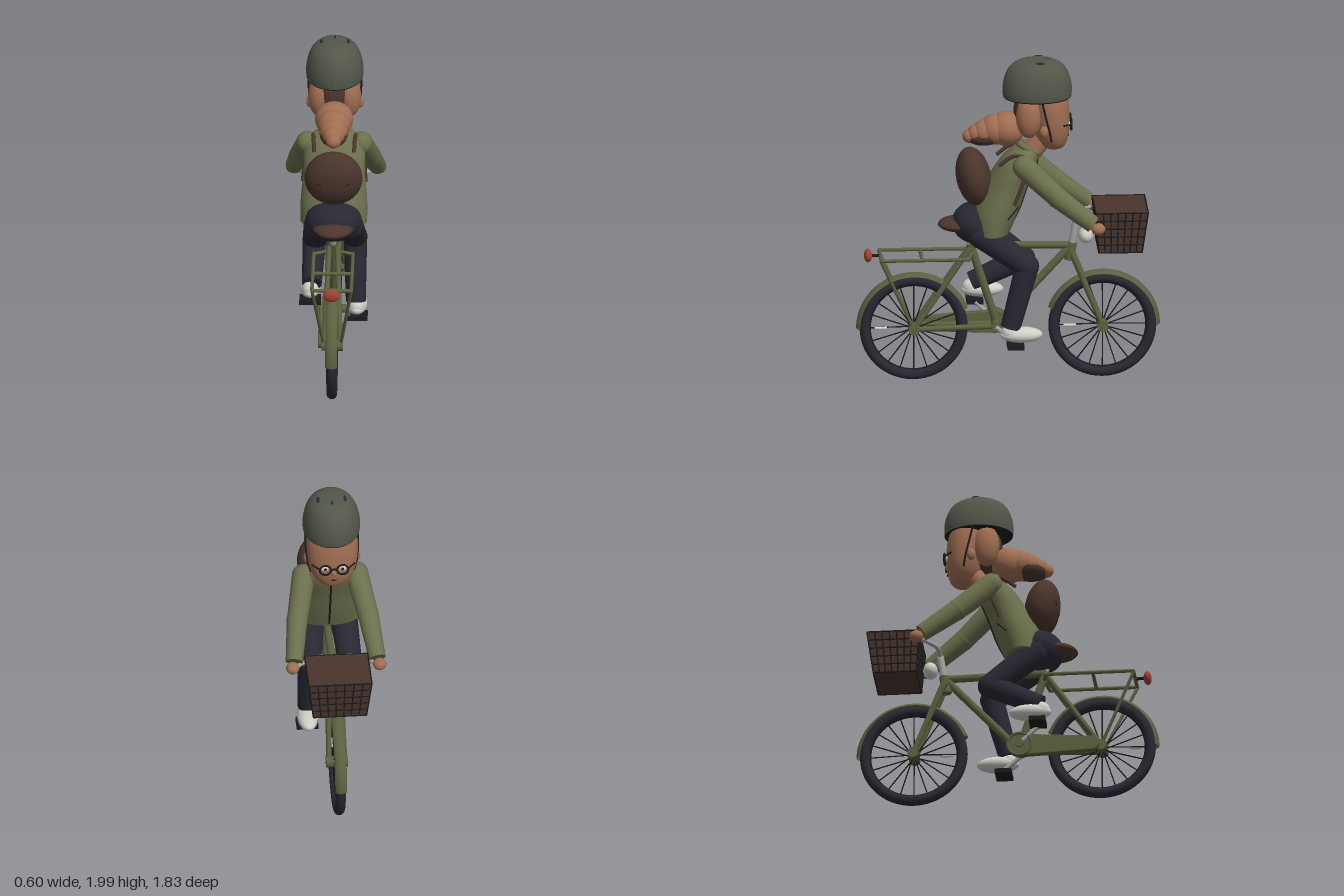
import * as THREE from 'three';

const mat = (name, color) => Object.assign(new THREE.MeshStandardMaterial({ color }), { name });
const M = {
  jacket: mat('jacket olive', 0x6c6f4c), frame: mat('frame olive', 0x5d603f),
  helmet: mat('helmet green', 0x52574a), skin: mat('warm skin', 0xa06e52),
  brown: mat('dark brown', 0x4a352d), navy: mat('dark navy', 0x282833),
  black: mat('black', 0x1b1b1e), white: mat('off white', 0xcfcdc6),
  red: mat('reflector red', 0xa34233), metal: mat('light metal', 0xa3a3a3),
};
M.frame.side = THREE.DoubleSide;
const V = (x, y, z) => new THREE.Vector3(x, y, z);

export function createModel() {
  const model = new THREE.Group();
  const group = (name) => { const g = new THREE.Group(); g.name = name; model.add(g); return g; };
  let target = model;
  const add = (name, geo, material, pos = [0, 0, 0]) => {
    const m = new THREE.Mesh(geo, material);
    m.name = name;
    m.position.set(...pos);
    target.add(m);
    return m;
  };
  const blob = (name, pos, size, material, tilt = 0) => {
    const m = add(name, new THREE.SphereGeometry(1, 28, 18), material, pos);
    m.scale.set(...size);
    m.rotation.x = tilt;
    return m;
  };
  const box = (name, pos, size, material) => add(name, new THREE.BoxGeometry(...size), material, pos);
  // straight round bar from a to b
  const rod = (name, a, b, r, material, r2 = r, sides = 12) => {
    const p = V(...a), q = V(...b), d = q.clone().sub(p);
    const m = add(name, new THREE.CylinderGeometry(r2, r, d.length(), sides), material);
    m.position.copy(p).add(q).multiplyScalar(0.5);
    m.quaternion.setFromUnitVectors(V(0, 1, 0), d.normalize());
    return m;
  };
  const tube = (name, pts, r, material) => add(name,
    new THREE.TubeGeometry(new THREE.CatmullRomCurve3(pts.map((p) => V(...p))), 24, r, 8), material);
  // oval rings [y, centre z, half width, half depth] from top to bottom
  const loft = (name, rings, material) => {
    const n = 20, g = new THREE.CylinderGeometry(1, 1, 1, 36, n), pos = g.attributes.position;
    const size = new THREE.CatmullRomCurve3(rings.map((r) => V(r[0], r[2], r[3])));
    const mid = new THREE.CatmullRomCurve3(rings.map((r) => V(r[0], r[1], 0)));
    for (let i = 0; i < pos.count; i++) {
      const t = 0.5 - pos.getY(i), s = size.getPoint(t), c = mid.getPoint(t);
      pos.setXYZ(i, pos.getX(i) * s.y, s.x, c.y + pos.getZ(i) * s.z);
    }
    g.computeVertexNormals();
    return add(name, g, material);
  };

  // wheels with tyre, spokes, hub and mudguard
  const wheel = (name, z, start, length) => {
    target = group(name);
    target.position.set(0, 0.333, z);
    add('tyre', new THREE.TorusGeometry(0.294, 0.031, 14, 56).rotateY(Math.PI / 2), M.navy);
    add('rim', new THREE.TorusGeometry(0.266, 0.009, 8, 56).rotateY(Math.PI / 2), M.black);
    for (let i = 0; i < 20; i++) {
      const a = (i / 20) * Math.PI * 2, s = i % 2 ? 0.02 : -0.02;
      rod('spoke', [s, 0, 0], [0, Math.sin(a) * 0.265, Math.cos(a) * 0.265], 0.004, M.black, 0.004, 6);
    }
    rod('hub', [-0.065, 0, 0], [0.065, 0, 0], 0.034, M.frame, 0.034, 20);
    rod('spokeReflector', [0.012, 0, 0.16], [0.012, 0, 0.235], 0.009, M.white);
    const profile = [[0.322, -0.036], [0.338, -0.025], [0.346, 0], [0.338, 0.025], [0.322, 0.036]];
    add('mudguard', new THREE.LatheGeometry(profile.map((p) => new THREE.Vector2(...p)), 36, start, length)
      .rotateZ(Math.PI / 2), M.frame);
  };
  wheel('rearWheel', 0.575, 0, 2.79);
  wheel('frontWheel', -0.56, 0.34, Math.PI - 0.34);

  // frame, fork and rack
  target = group('frame');
  rod('seatTube', [0, 0.335, 0.07], [0, 0.85, 0.235], 0.024, M.frame);
  rod('seatPost', [0, 0.82, 0.225], [0, 0.96, 0.27], 0.016, M.metal);
  rod('topTube', [0, 0.845, 0.24], [0, 0.832, -0.375], 0.023, M.frame);
  rod('downTube', [0, 0.82, -0.36], [0, 0.34, 0.08], 0.024, M.frame);
  rod('stem', [0, 0.75, -0.362], [0, 0.985, -0.402], 0.022, M.metal);
  rod('headTube', [0, 0.74, -0.36], [0, 0.85, -0.378], 0.03, M.frame);
  for (const s of [-1, 1]) {
    rod('seatStay', [s * 0.025, 0.83, 0.235], [s * 0.048, 0.333, 0.575], 0.016, M.frame);
    rod('chainStay', [s * 0.03, 0.34, 0.08], [s * 0.048, 0.333, 0.575], 0.017, M.frame);
    rod('forkBlade', [s * 0.035, 0.8, -0.372], [s * 0.048, 0.333, -0.56], 0.02, M.frame, 0.016);
    rod('rackRail', [s * 0.118, 0.785, 0.78], [s * 0.118, 0.785, 0.24], 0.011, M.frame);
    rod('rackStrut', [s * 0.05, 0.333, 0.575], [s * 0.118, 0.785, 0.78], 0.01, M.frame);
    rod('rackLink', [s * 0.118, 0.785, 0.25], [0, 0.8, 0.225], 0.011, M.frame);
  }
  rod('forkCrown', [-0.05, 0.79, -0.372], [0.05, 0.79, -0.372], 0.02, M.frame);
  for (const z of [0.775, 0.53]) rod('rackBar', [-0.118, 0.785, z], [0.118, 0.785, z], 0.011, M.frame);
  blob('rearReflector', [0, 0.787, 0.85], [0.05, 0.04, 0.024], M.red);
  rod('reflectorBracket', [0, 0.785, 0.775], [0, 0.787, 0.845], 0.01, M.black);
  blob('headLamp', [0, 0.893, -0.46], [0.06, 0.05, 0.044], M.white);
  loft('saddle', [[1.02, 0.31, 0.03, 0.05], [1.0, 0.31, 0.1, 0.1], [0.975, 0.3, 0.12, 0.13],
    [0.95, 0.3, 0.09, 0.1], [0.935, 0.29, 0.03, 0.05]], M.brown);
  // handlebar
  tube('handlebar', [[-0.27, 1.0, -0.53], [-0.2, 1.0, -0.47], [-0.1, 1.0, -0.41], [0, 0.985, -0.4],
    [0.1, 1.0, -0.41], [0.2, 1.0, -0.47], [0.27, 1.0, -0.53]], 0.013, M.metal);

  // chain case, cranks and pedals
  target = group('drivetrain');
  const guard = new THREE.Shape();
  guard.absarc(0.085, 0.345, 0.066, Math.PI * 0.53, Math.PI * 1.47, false);
  guard.absarc(0.52, 0.338, 0.04, -Math.PI * 0.47, Math.PI * 0.47, false);
  add('chainCase', new THREE.ExtrudeGeometry(guard, { depth: 0.03, bevelSize: 0.006, bevelThickness: 0.006,
    bevelSegments: 2 }).rotateY(-Math.PI / 2), M.frame, [-0.05, 0, 0]);
  add('chainRing', new THREE.TorusGeometry(0.072, 0.009, 8, 32).rotateY(Math.PI / 2), M.frame, [-0.09, 0.345, 0.085]);
  rod('axle', [-0.1, 0.35, 0.085], [0.075, 0.35, 0.085], 0.026, M.frame);
  for (const [x, y, z] of [[0.135, 0.25, -0.03], [-0.14, 0.46, 0.2]]) {
    const in_ = Math.sign(x) * 0.085;
    rod('crankArm', [in_, 0.35, 0.085], [in_, y, z], 0.014, M.metal);
    rod('pedalPin', [in_, y, z], [x, y, z], 0.01, M.metal);
    box('pedal', [x, y, z], [0.13, 0.028, 0.1], M.black);
  }

  // tapered basket with a woven pattern of dark strands
  target = group('basket');
  const corner = (sx, back, v) => [sx * (0.16 + 0.03 * v), 0.825 + 0.255 * v,
    back ? -0.53 + 0.02 * v : -0.79 - 0.035 * v];
  const shell = new THREE.BoxGeometry(2, 1, 1), sp = shell.attributes.position;
  for (let i = 0; i < sp.count; i++) sp.setXYZ(i, ...corner(sp.getX(i), sp.getZ(i) > 0, sp.getY(i) + 0.5));
  shell.computeVertexNormals();
  add('basketBody', shell, M.brown);
  const mix = (a, b, t) => a.map((k, i) => k + (b[i] - k) * t);
  const sides = [[[-1, true], [1, true]], [[1, true], [1, false]], [[1, false], [-1, false]], [[-1, false], [-1, true]]];
  for (const [a, b] of sides) {
    for (let i = 0; i <= 5; i++) rod('weaveRow', corner(...a, i / 5), corner(...b, i / 5), 0.0045, M.black, 0.0045, 5);
    for (let i = 0; i < 7; i++) {
      rod('weavePost', mix(corner(...a, 0), corner(...b, 0), i / 7), mix(corner(...a, 1), corner(...b, 1), i / 7),
        0.0045, M.black, 0.0045, 5);
    }
  }

  // rider: hips, legs and shoes
  target = group('legs');
  blob('hips', [0, 0.985, 0.2], [0.17, 0.125, 0.145], M.navy);
  const legs = [
    { hip: [0.095, 0.94, 0.18], knee: [0.125, 0.74, -0.1], ankle: [0.13, 0.36, 0.0], shoe: [0.135, 0.315, -0.065] },
    { hip: [-0.095, 0.94, 0.18], knee: [-0.12, 0.72, -0.09], ankle: [-0.13, 0.575, 0.22], shoe: [-0.14, 0.525, 0.155] },
  ];
  for (const { hip, knee, ankle, shoe } of legs) {
    blob('hipJoint', hip, [0.085, 0.085, 0.085], M.navy);
    rod('thigh', hip, knee, 0.085, M.navy, 0.072, 24);
    blob('knee', knee, [0.073, 0.073, 0.073], M.navy);
    rod('shin', knee, ankle, 0.071, M.navy, 0.06, 24);
    blob('shoe', shoe, [0.062, 0.048, 0.128], M.white);
    blob('shoeHeel', [shoe[0], shoe[1] + 0.015, shoe[2] + 0.065], [0.05, 0.05, 0.055], M.white);
  }

  // jacket and arms
  target = group('jacket');
  loft('torso', [[1.465, -0.1, 0.06, 0.05], [1.43, -0.085, 0.13, 0.085], [1.36, -0.05, 0.18, 0.115],
    [1.22, 0.02, 0.185, 0.13], [1.06, 0.085, 0.2, 0.14], [0.94, 0.11, 0.2, 0.115]], M.jacket);
  const collar = add('collar', new THREE.TorusGeometry(0.07, 0.02, 10, 28), M.jacket, [0, 1.45, -0.115]);
  collar.rotation.x = Math.PI / 2 - 0.5;
  tube('zip', [[0, 1.41, -0.175], [0, 1.36, -0.168], [0, 1.22, -0.113], [0, 1.06, -0.058], [0, 0.96, -0.01]], 0.006, M.black);
  for (const s of [-1, 1]) {
    const shoulder = [s * 0.16, 1.37, -0.08], elbow = [s * 0.215, 1.19, -0.28], wrist = [s * 0.25, 1.03, -0.49];
    blob('shoulder', shoulder, [0.07, 0.07, 0.07], M.jacket);
    rod('upperSleeve', shoulder, elbow, 0.07, M.jacket, 0.062, 24);
    blob('elbow', elbow, [0.064, 0.064, 0.064], M.jacket);
    rod('lowerSleeve', elbow, wrist, 0.063, M.jacket, 0.052, 24);
    blob('hand', [s * 0.262, 1.005, -0.52], [0.04, 0.036, 0.042], M.skin);
    tube('packStrap', [[s * 0.12, 1.37, 0.07], [s * 0.125, 1.43, -0.02], [s * 0.135, 1.41, -0.1],
      [s * 0.175, 1.27, -0.07], [s * 0.19, 1.14, -0.02]], 0.012, M.brown);
    tube('pocketSeam', [[s * 0.15, 1.12, -0.045], [s * 0.17, 1.09, -0.018], [s * 0.186, 1.05, 0.02]], 0.004, M.black);
  }

  // backpack
  target = group('backpack');
  blob('pack', [0, 1.272, 0.215], [0.175, 0.18, 0.105], M.brown, 0.18);
  for (const s of [-1, 1]) rod('packSeam', [s * 0.07, 1.262, 0.309], [s * 0.115, 1.28, 0.29], 0.005, M.black);

  // head and hair
  target = group('head');
  rod('neck', [0, 1.38, -0.1], [0, 1.53, -0.22], 0.062, M.skin, 0.062, 20);
  loft('face', [[1.86, -0.23, 0.1, 0.08], [1.76, -0.24, 0.148, 0.11], [1.62, -0.25, 0.15, 0.114],
    [1.52, -0.257, 0.125, 0.098], [1.46, -0.265, 0.08, 0.066], [1.435, -0.27, 0.015, 0.015]], M.skin);
  blob('backHair', [0, 1.68, -0.13], [0.115, 0.15, 0.105], M.brown);
  const tail = [[1.57, 0.015, 0.107], [1.565, 0.085, 0.093], [1.55, 0.145, 0.078], [1.54, 0.195, 0.06], [1.525, 0.24, 0.042]];
  for (const [y, z, r] of tail) blob('ponytailLobe', [0, y, z], [r * 1.08, r, r], M.skin);
  blob('ponytailUnderside', [0, 1.525, 0.13], [0.085, 0.055, 0.125], M.brown, 0.12);
  for (const s of [-1, 1]) {
    blob('sideHair', [s * 0.09, 1.665, -0.112], [0.07, 0.132, 0.077], M.skin);
    blob('ear', [s * 0.15, 1.585, -0.2], [0.022, 0.036, 0.026], M.skin);
    tube('chinStrap', [[s * 0.157, 1.79, -0.185], [s * 0.158, 1.68, -0.21], [s * 0.148, 1.58, -0.235],
      [s * 0.13, 1.515, -0.247]], 0.006, M.black);
    // glasses and eyes
    add('glassesRim', new THREE.TorusGeometry(0.034, 0.006, 8, 24), M.black, [s * 0.052, 1.605, -0.37]);
    blob('eye', [s * 0.052, 1.605, -0.357], [0.024, 0.018, 0.007], M.white);
    blob('pupil', [s * 0.052, 1.605, -0.363], [0.009, 0.01, 0.005], M.black);
    rod('glassesArm', [s * 0.086, 1.61, -0.365], [s * 0.13, 1.615, -0.32], 0.005, M.black);
  }
  rod('glassesBridge', [-0.02, 1.61, -0.372], [0.02, 1.61, -0.372], 0.005, M.black);
  blob('nose', [0, 1.57, -0.36], [0.015, 0.018, 0.014], M.skin);
  blob('mouth', [0, 1.52, -0.354], [0.018, 0.005, 0.006], M.black);

  // helmet
  target = group('helmet');
  loft('helmetShell', [[2.0, -0.168, 0.002, 0.002], [1.993, -0.168, 0.085, 0.105], [1.95, -0.168, 0.138, 0.168],
    [1.88, -0.168, 0.165, 0.2], [1.81, -0.168, 0.173, 0.209], [1.772, -0.168, 0.17, 0.206]], M.helmet);
  loft('helmetRim', [[1.778, -0.168, 0.168, 0.204], [1.77, -0.168, 0.169, 0.205], [1.764, -0.168, 0.164, 0.2]], M.black);
  blob('vent', [0, 1.992, -0.225], [0.012, 0.009, 0.032], M.navy);
  for (const s of [-1, 1]) blob('vent', [s * 0.08, 1.989, -0.18], [0.011, 0.012, 0.03], M.navy);
  return model;
}
